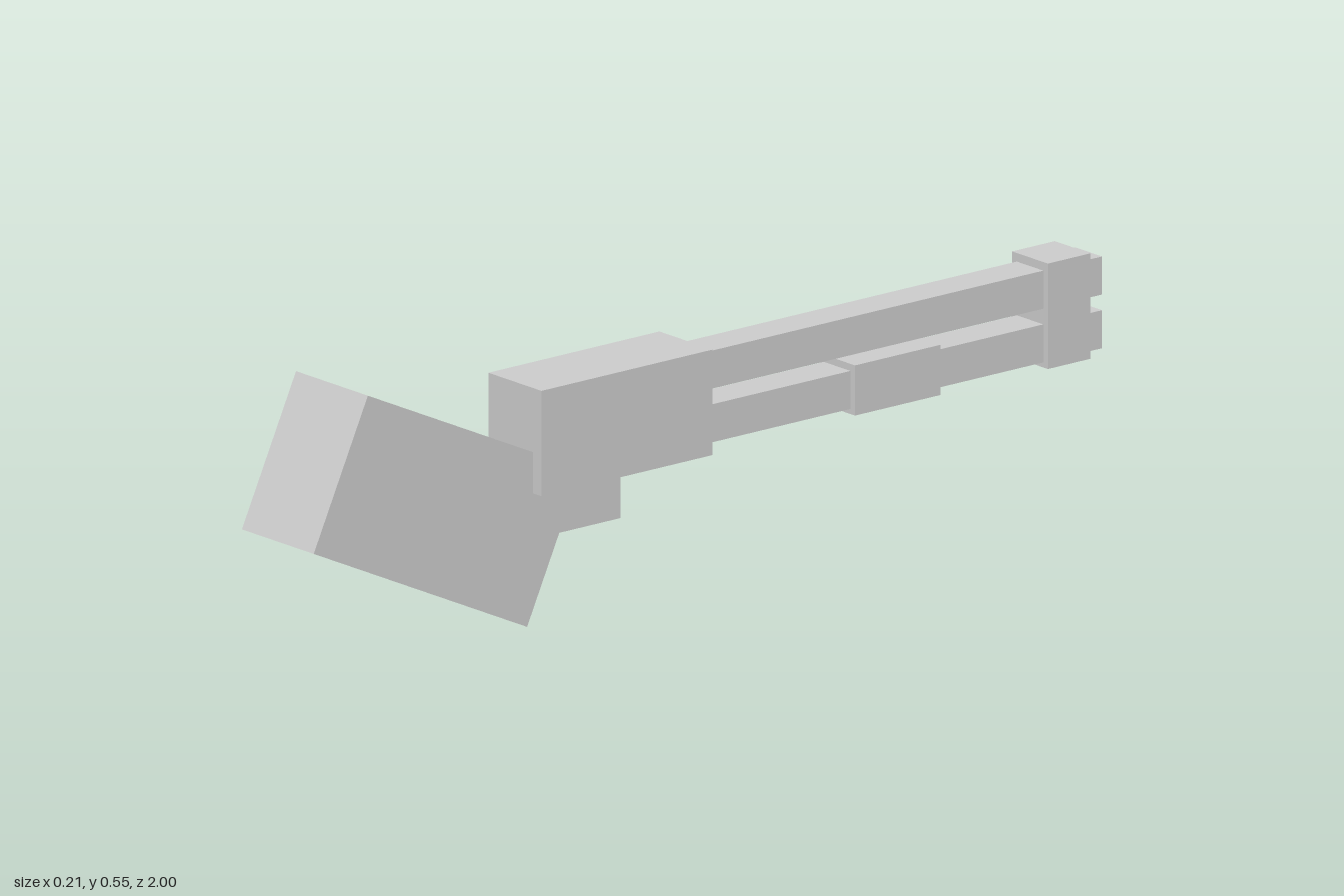
import * as THREE from 'three';

export function createModel() {
  const model = new THREE.Group();
  model.name = 'longGun';

  const grey = new THREE.MeshStandardMaterial({ color: 0xcccccc });
  grey.name = 'plain grey';
  const greySheet = new THREE.MeshStandardMaterial({ color: 0xcccccc, side: THREE.DoubleSide });
  greySheet.name = 'plain grey sheet';

  // box spanning y0..y1 and z0..z1, centred on x
  function block(name, width, y0, y1, z0, z1) {
    const mesh = new THREE.Mesh(new THREE.BoxGeometry(width, y1 - y0, z1 - z0), grey);
    mesh.name = name;
    mesh.position.set(0, (y0 + y1) / 2, (z0 + z1) / 2);
    model.add(mesh);
  }

  // receiver and twin barrels
  block('receiver', 0.156, 0.265, 0.473, -0.006, 0.416);
  block('upperBarrel', 0.078, 0.381, 0.456, -1, 0);
  block('lowerBarrel', 0.078, 0.275, 0.35, -1, 0);

  // sleeve on the lower barrel and band joining the muzzles
  block('foreGrip', 0.105, 0.265, 0.364, -0.59, -0.379);
  block('muzzleBand', 0.105, 0.265, 0.473, -0.96, -0.855);

  // wide stock and narrow wrist share one axis, tilted up toward the rear
  const butt = new THREE.Group();
  butt.name = 'buttAssembly';
  butt.position.set(0, 0.325, 0.744);
  butt.rotation.x = THREE.MathUtils.degToRad(-25);
  for (const [name, width, length, z] of [
    ['stock', 0.211, 0.42, 0],
    ['wrist', 0.105, 0.21, -0.315],
  ]) {
    const mesh = new THREE.Mesh(new THREE.BoxGeometry(width, 0.316, length), grey);
    mesh.name = name;
    mesh.position.z = z;
    butt.add(mesh);
  }
  model.add(butt);

  // thin trigger plate under the receiver
  const trigger = new THREE.Mesh(new THREE.PlaneGeometry(0.21, 0.112), greySheet);
  trigger.name = 'triggerPlate';
  trigger.rotation.y = Math.PI / 2;
  trigger.position.set(0, 0.21, 0.26);
  model.add(trigger);

  return model;
}
